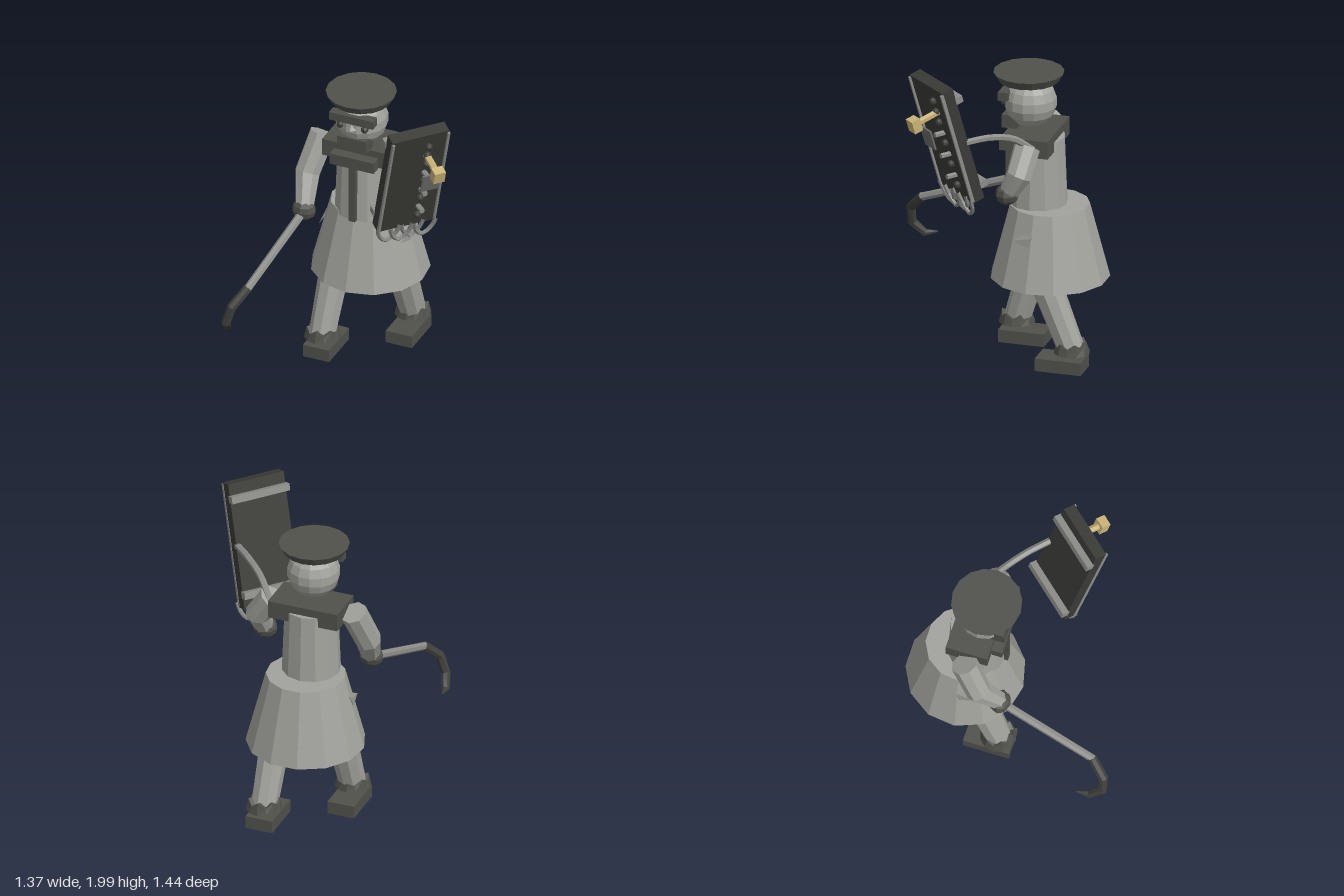
import * as THREE from 'three';

const mat = (name, color, side = THREE.FrontSide) => {
  const m = new THREE.MeshStandardMaterial({ color, side });
  m.name = name;
  return m;
};

const V = (x, y, z) => new THREE.Vector3(x, y, z);

// Faceted copy of a geometry
function flat(geo) {
  const g = geo.index ? geo.toNonIndexed() : geo;
  g.computeVertexNormals();
  return g;
}

// Capped tapering tube through a list of points, one radius per point
function loft(points, radii, sides) {
  const pos = [], idx = [];
  const n = points.length;
  let u = null;
  points.forEach((p, i) => {
    const t = points[Math.min(i + 1, n - 1)].clone().sub(points[Math.max(i - 1, 0)]).normalize();
    if (!u) u = Math.abs(t.x) < 0.8 ? V(1, 0, 0) : V(0, 1, 0);
    u = u.clone().addScaledVector(t, -t.dot(u)).normalize();
    const v = t.clone().cross(u);
    for (let j = 0; j < sides; j++) {
      const a = (j / sides) * Math.PI * 2;
      const q = p.clone().addScaledVector(u, Math.cos(a) * radii[i]).addScaledVector(v, Math.sin(a) * radii[i]);
      pos.push(q.x, q.y, q.z);
    }
  });
  const first = n * sides, last = first + 1;
  pos.push(...points[0].toArray(), ...points[n - 1].toArray());
  for (let j = 0; j < sides; j++) {
    const k = (j + 1) % sides;
    for (let i = 0; i < n - 1; i++) {
      const a = i * sides, b = a + sides;
      idx.push(a + j, a + k, b + j, a + k, b + k, b + j);
    }
    const e = (n - 1) * sides;
    idx.push(first, k, j, last, e + j, e + k);
  }
  const g = new THREE.BufferGeometry();
  g.setAttribute('position', new THREE.Float32BufferAttribute(pos, 3));
  g.setIndex(idx);
  return g;
}

export function createModel() {
  const cloth = mat('grey cloth', 0xa2a39d);
  const torn = mat('torn cloth', 0x92938d, THREE.DoubleSide);
  const dark = mat('dark leather', 0x50514b);
  const board = mat('black board', 0x3a3a37);
  const steel = mat('steel', 0x8c8d89);
  const iron = mat('dark iron', 0x40413d);
  const brass = mat('brass', 0xc9b477);
  const sheet = mat('plate grey', 0x6c6d6a);

  const model = new THREE.Group();
  model.name = 'figure';
  const add = (name, geo, m, x = 0, y = 0, z = 0, parent = model) => {
    const mesh = new THREE.Mesh(flat(geo), m);
    mesh.name = name;
    mesh.position.set(x, y, z);
    parent.add(mesh);
    return mesh;
  };
  const box = (w, h, d) => new THREE.BoxGeometry(w, h, d);
  const CX = -0.133;

  // Coat
  add('skirt', new THREE.CylinderGeometry(0.25, 0.375, 0.48, 13), cloth, CX, 0.78, -0.362);
  add('torso', new THREE.CylinderGeometry(0.168, 0.186, 0.46, 12), cloth, CX - 0.005, 1.23, -0.285);
  add('collar', box(0.465, 0.115, 0.27), dark, CX, 1.455, -0.283);
  add('chestFlap', box(0.3, 0.075, 0.07), dark, CX, 1.43, -0.112);
  add('coatStrip', box(0.045, 0.39, 0.05), dark, CX, 1.2, -0.105);

  // Torn flaps on both sides of the skirt
  for (const s of [1, -1]) {
    const g = new THREE.BufferGeometry();
    g.setAttribute('position', new THREE.Float32BufferAttribute([
      0.28, 0.85, 0.16, 0.25, 0.94, 0.01, 0.29, 0.88, 0.03,
      0.28, 0.85, 0.16, 0.29, 0.88, 0.03, 0.30, 0.82, 0.05,
      0.30, 0.82, 0.05, 0.29, 0.88, 0.03, 0.25, 0.94, 0.01,
    ].map((c, i) => (i % 3 === 0 ? c * s : c)), 3));
    add(s > 0 ? 'leftTear' : 'rightTear', g, torn, CX, 0, -0.362);
  }

  // Head and face
  add('head', new THREE.SphereGeometry(0.167, 14, 9), cloth, CX, 1.685, -0.235);
  add('hat', new THREE.CylinderGeometry(0.222, 0.19, 0.055, 16), dark, CX, 1.853, -0.225);
  add('brow', box(0.3, 0.055, 0.062), dark, CX, 1.748, -0.1);
  add('mask', box(0.2, 0.085, 0.1), dark, CX, 1.567, -0.128);
  add('nose', new THREE.ConeGeometry(0.05, 0.07, 5), cloth, CX, 1.715, -0.1);
  for (const s of [1, -1]) add('eye', new THREE.SphereGeometry(0.025, 7, 5), iron, CX + s * 0.083, 1.692, -0.092);

  // Arms and hands
  add('rightArm', loft([V(-0.42, 1.47, -0.28), V(-0.475, 1.23, -0.17), V(-0.44, 1.06, -0.05)],
    [0.085, 0.082, 0.06], 8), cloth);
  add('leftArm', loft([V(0.12, 1.47, -0.29), V(0.225, 1.32, -0.27), V(0.21, 1.18, -0.19)],
    [0.085, 0.082, 0.06], 8), cloth);
  add('rightHand', new THREE.SphereGeometry(0.08, 8, 6), dark, -0.44, 1.04, -0.04).scale.set(1, 0.85, 0.85);
  add('leftHand', new THREE.SphereGeometry(0.08, 8, 6), dark, 0.21, 1.185, -0.19).scale.set(1, 0.85, 0.95);

  // Legs with ragged cuffs and block boots
  const legs = [
    { side: 'right', x: -0.335, hipX: -0.29, z: -0.085, hipZ: -0.28, boot: -0.138 },
    { side: 'left', x: 0.065, hipX: 0.05, z: -0.565, hipZ: -0.31, boot: -0.5 },
  ];
  for (const l of legs) {
    add(l.side + 'Leg', loft([V(l.x, 0.13, l.z), V(l.hipX, 0.76, l.hipZ)], [0.085, 0.105], 9), cloth);
    const cuff = new THREE.CylinderGeometry(0.097, 0.115, 0.075, 12);
    const p = cuff.attributes.position;
    for (let i = 0; i < p.count; i++) {
      const tooth = Math.round((Math.atan2(p.getX(i), p.getZ(i)) / Math.PI) * 6);
      const rim = Math.hypot(p.getX(i), p.getZ(i)) > 0.01;
      if (p.getY(i) > 0 && rim && tooth % 2) p.setY(i, 0.005);
      if (p.getY(i) > 0 && !rim) p.setY(i, 0.02);
    }
    add(l.side + 'Cuff', cuff, dark, l.x, 0.158, l.z);
    add(l.side + 'Boot', box(0.178, 0.083, 0.298), dark, l.x, 0.0415, l.boot);
  }

  // Crowbar
  add('crowbarShaft', loft([V(-0.435, 1.04, -0.06), V(-0.538, 0.79, 0.6)], [0.028, 0.026], 7), steel);
  add('crowbarHook', loft([V(-0.535, 0.797, 0.59), V(-0.605, 0.69, 0.685), V(-0.64, 0.575, 0.69),
    V(-0.668, 0.5, 0.615), V(-0.68, 0.513, 0.535)], [0.03, 0.031, 0.031, 0.026, 0.005], 7), iron);

  // Cable from shoulder to the panel
  const cable = new THREE.CatmullRomCurve3([V(0.12, 1.46, -0.33), V(0.22, 1.56, -0.235), V(0.35, 1.605, -0.12), V(0.475, 1.605, 0)]);
  add('shoulderCable', new THREE.TubeGeometry(cable, 10, 0.022, 6), steel);

  // Control panel, turned outward and leaning forward
  const panel = new THREE.Group();
  panel.name = 'controlPanel';
  panel.position.set(0.375, 1.593, 0.15);
  panel.rotation.set(0.29, 0.85, 0, 'YXZ');
  model.add(panel);
  const part = (name, geo, m, x, y, z) => add(name, geo, m, x, y, z, panel);
  part('panelBoard', box(0.385, 0.81, 0.08), board, 0, 0, 0);
  for (const s of [1, -1]) {
    part('panelRim', box(0.015, 0.79, 0.022), steel, s * 0.188, 0, 0.043);
    part('backStrap', box(0.4, 0.045, 0.05), steel, 0, s * 0.31, -0.06);
  }

  // Column of knobs and bolts
  for (let i = 0; i < 9; i++) {
    const y = 0.31 - i * 0.0775;
    if (i % 2 && i > 1) {
      const bolt = part('switch', new THREE.CylinderGeometry(0.018, 0.018, 0.075, 6), steel, 0.06, y, 0.07);
      bolt.rotation.set(Math.PI / 2 - 0.25, 0, 0);
    } else {
      part('knob', new THREE.SphereGeometry(0.025, 8, 6), iron, 0.06, y, 0.052);
    }
  }

  // Brass lever and hanging plate
  const lever = part('leverRod', new THREE.CylinderGeometry(0.023, 0.023, 0.16, 6), brass, 0.06, 0.225, 0.115);
  lever.rotation.x = Math.PI / 2;
  part('leverGrip', box(0.075, 0.085, 0.06), brass, 0.06, 0.225, 0.218);
  part('hangingPlate', box(0.12, 0.135, 0.012), sheet, 0.055, 0.09, 0.15);

  // Looped wires under the panel
  for (let i = 0; i < 4; i++) {
    const x = -0.12 + i * 0.08;
    const z = 0.04 + (i % 2) * 0.012;
    const wire = new THREE.CatmullRomCurve3([V(x - 0.075, -0.37, z + 0.005), V(x - 0.055, -0.45, z),
      V(x, -0.5, z), V(x + 0.055, -0.45, z), V(x + 0.075, -0.37, z + 0.005)]);
    part('wireLoop', new THREE.TubeGeometry(wire, 10, 0.014, 6), steel, 0, 0, 0);
  }
  return model;
}
